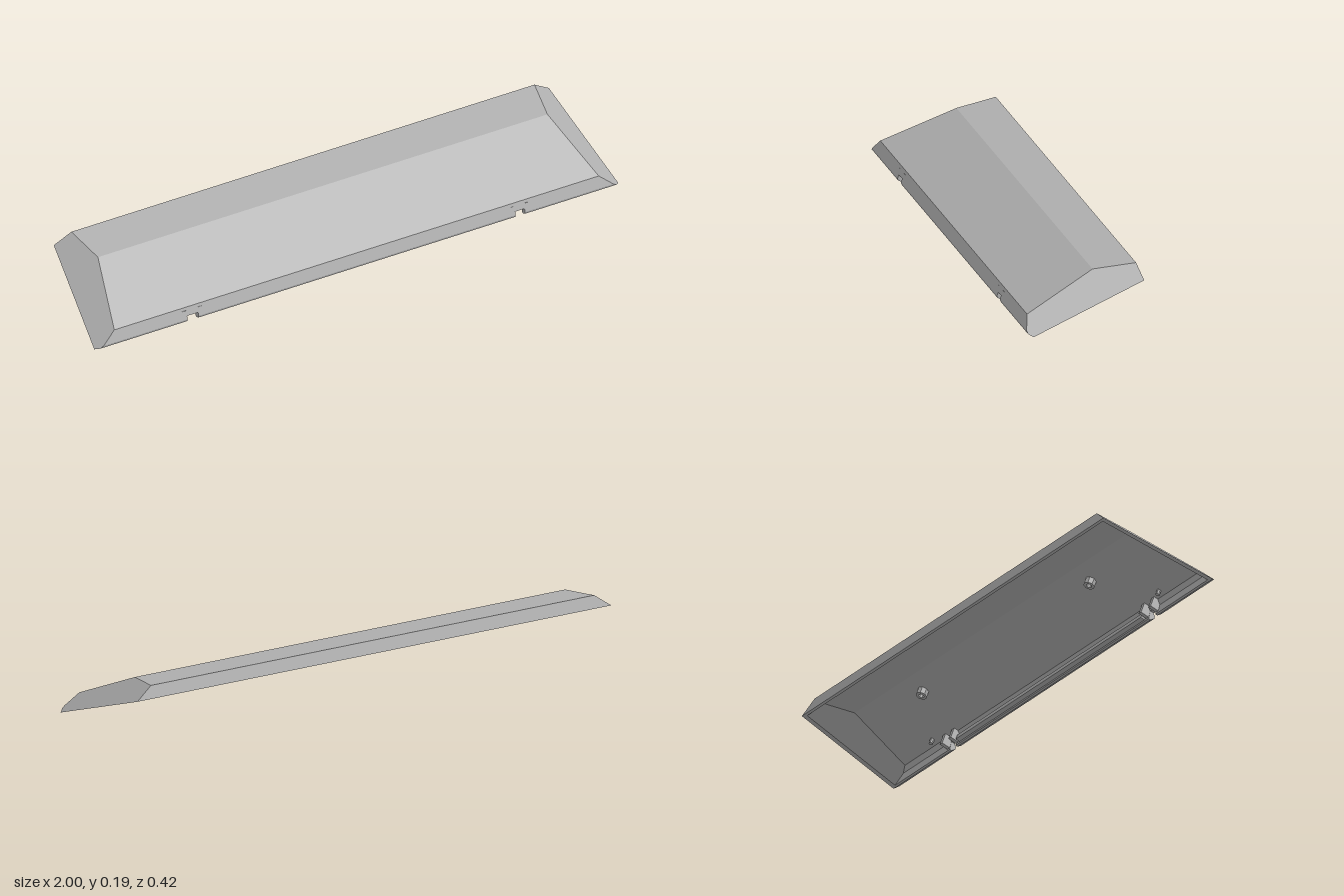
import * as THREE from 'three';

// The cover is built flat on its rim: t runs from front to back, h up from the rim.
const LEAN = 0.35;
const NOTCHES = [[-0.652, -0.61], [0.6, 0.636]];
const roofHeight = t => 0.046 + (t - 0.026) * 0.08;

// Outer and inner profiles as [t, h, inset of the sloped end]
const pt = (t, h, inset = 0) => ({ t, h, X: 1 - 0.128 * t - 1.33 * h - inset });
const outerLow = [pt(0, 0), pt(-0.0115, 0.0125), pt(-0.0105, 0.0209), pt(-0.0023, 0.0307)];
const outerHigh = [pt(0.018, 0.055), pt(0.292, 0.0787), pt(0.435, 0.0455), pt(0.431, 0)];
const innerLow = [pt(0.012, 0.0307, 0.02), pt(0.008, 0, 0.02)];
const innerHigh = [pt(0.421, 0, 0.02), pt(0.424, 0.037, 0.02), pt(0.291, 0.067, 0.02), pt(0.026, 0.046, 0.02)];

function shellGeometry() {
  const pos = [];
  const fan = (pts) => {
    for (let i = 1; i < pts.length - 1; i++) pos.push(...pts[0], ...pts[i], ...pts[i + 1]);
  };
  const at = (p, x) => [x, p.h, -p.t];
  const strip = (p, q, a, b, c, d) => fan([at(p, a), at(p, b), at(q, c), at(q, d)]);

  // Long faces; those on the lower front wall are interrupted by the notches
  const loop = [...outerLow, ...outerHigh, ...innerHigh, ...innerLow];
  loop.forEach((p, i) => {
    const q = loop[(i + 1) % loop.length];
    const split = i < 3 || i >= loop.length - 2;
    if (!split) return strip(p, q, -p.X, p.X, q.X, -q.X);
    const [[a, b], [c, d]] = NOTCHES;
    strip(p, q, -p.X, a, a, -q.X);
    strip(p, q, b, c, c, b);
    strip(p, q, d, p.X, q.X, d);
  });

  // Sloped ends: outside, inside and rim
  const [A, F, Fi, Ai] = [outerLow[0], outerHigh[3], innerHigh[0], innerLow[1]];
  const outer = [...outerLow, ...outerHigh];
  const inner = [Ai, innerLow[0], ...[...innerHigh].reverse()];
  for (const s of [1, -1]) {
    const put = (list, flip) => {
      const pts = list.map(p => at(p, s * p.X));
      fan((s > 0) === flip ? pts.reverse() : pts);
    };
    put(outer, true);
    put(inner, false);
    put([A, F, Fi, Ai], false);
  }

  // Notch cheeks and ceilings
  const cheek = [...outerLow, ...innerLow];
  for (const [a, b] of NOTCHES) {
    fan(cheek.map(p => at(p, a)).reverse());
    fan(cheek.map(p => at(p, b)));
    strip(innerLow[0], outerLow[3], a, b, b, a);
  }
  const g = new THREE.BufferGeometry();
  g.setAttribute('position', new THREE.Float32BufferAttribute(pos, 3));
  g.computeVertexNormals();
  return g;
}

export function createModel() {
  const model = new THREE.Group();
  const gray = new THREE.MeshStandardMaterial({ color: 0xb0b0b0, flatShading: true, side: THREE.DoubleSide });
  gray.name = 'plain gray';
  const cover = new THREE.Group();
  cover.name = 'cover';
  cover.position.set(0, 0, 0.195);
  cover.rotation.x = LEAN;
  model.add(cover);

  const add = (name, geo, x, h, t) => {
    const m = new THREE.Mesh(geo, gray);
    m.name = name;
    m.position.set(x, h, -t);
    cover.add(m);
  };

  add('shell', shellGeometry(), 0, 0, 0);

  // Stiffening rail behind the front lip
  add('frontRail', new THREE.BoxGeometry(1.16, 0.018, 0.016), -0.005, 0.014, 0.018);

  // Bracket cheeks beside each notch
  for (const [a, b] of NOTCHES) {
    for (const x of [a - 0.009, b + 0.009]) {
      add('notchBracket', new THREE.BoxGeometry(0.016, 0.04, 0.032), x, 0.026, 0.026);
    }
  }

  // Hollow screw posts and small pegs under the roof
  const ring = [[0.01, 0.025], [0.01, 0], [0.02, 0], [0.02, 0.025]].map(p => new THREE.Vector2(...p));
  for (const s of [1, -1]) {
    add('screwPost', new THREE.LatheGeometry(ring, 8), s * 0.525, roofHeight(0.22) - 0.023, 0.22);
    add('peg', new THREE.CylinderGeometry(0.008, 0.008, 0.02, 8), s * 0.71, roofHeight(0.05) - 0.008, 0.05);
  }
  return model;
}
